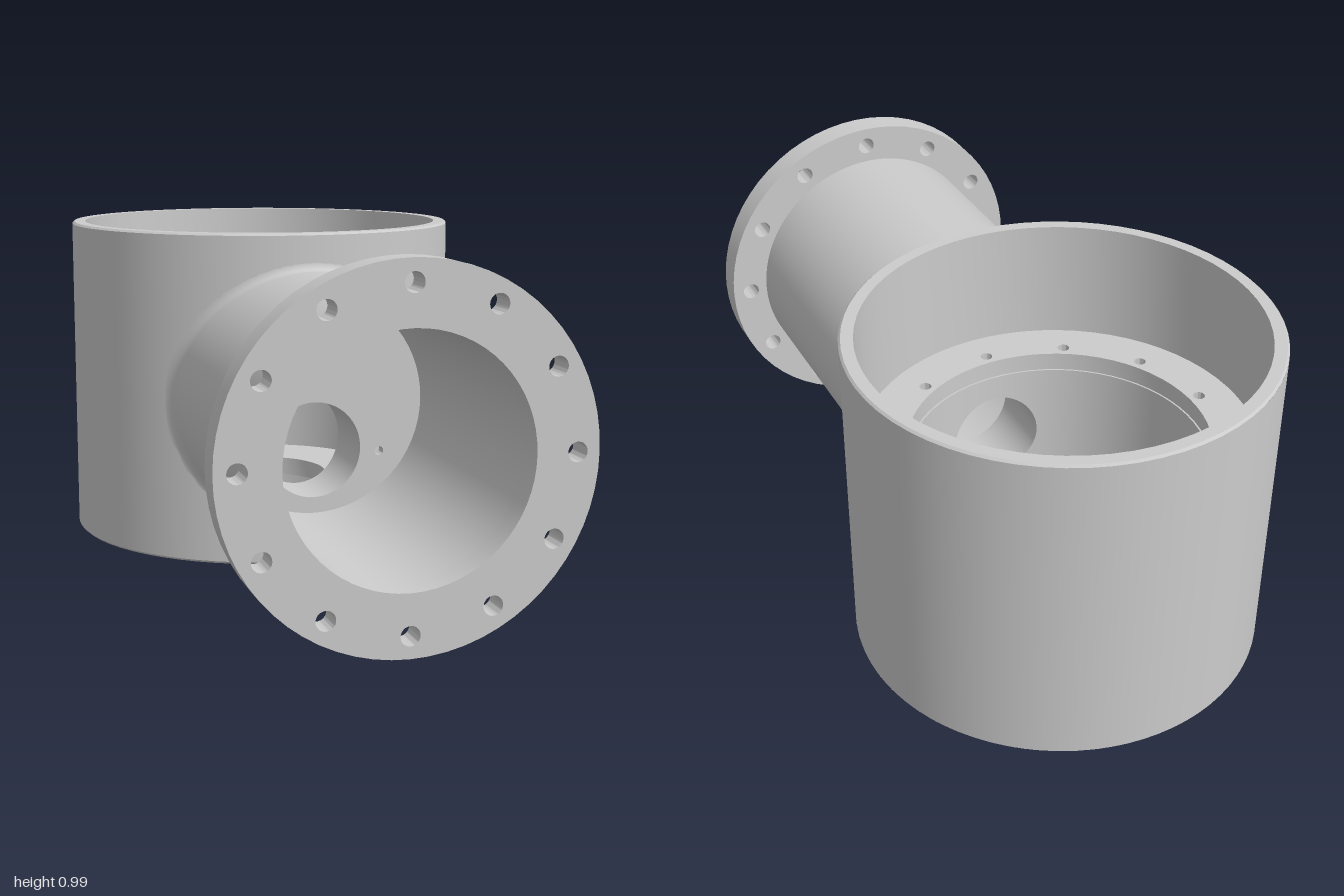
import * as THREE from 'three';
import { toCreasedNormals } from 'three/addons/utils/BufferGeometryUtils.js';
import { ParametricGeometry } from 'three/addons/geometries/ParametricGeometry.js';

const AXIS_Z = -0.41;               // vertical barrel axis
const PIPE_Y = 0.493;               // horizontal pipe axis
const PORT_Y = 0.355, PORT_R = 0.14; // passage between pipe and barrel
const BARREL_R = 0.59, CAVITY_R = 0.415, BORE_R = 0.325, PIPE_R = 0.38;
const FLOOR_Y = 0.16, LEDGE_Y = 0.625;

const surfaceZ = (R, x) => AXIS_Z + Math.sqrt(R * R - x * x);

export function createModel() {
  const model = new THREE.Group();
  const material = new THREE.MeshStandardMaterial({ color: 0xcccccc, side: THREE.DoubleSide });

  function add(name, geometry, parent = model) {
    const mesh = new THREE.Mesh(geometry, material);
    mesh.name = name;
    parent.add(mesh);
    return mesh;
  }

  const circle = (r, x = 0, y = 0) => new THREE.Path().absarc(x, y, r, 0, Math.PI * 2, false);

  function boltCircle(count, radius, holeR) {
    return Array.from({ length: count }, (_, i) => {
      const a = (i / count) * Math.PI * 2;
      return circle(holeR, radius * Math.cos(a), radius * Math.sin(a));
    });
  }

  // Round plate with holes, extruded along +z
  function plate(radius, holes, depth) {
    const shape = new THREE.Shape().absarc(0, 0, radius, 0, Math.PI * 2, false);
    shape.holes.push(...holes);
    const g = new THREE.ExtrudeGeometry(shape, { depth, bevelEnabled: false, curveSegments: 32 });
    return toCreasedNormals(g, 0.6);
  }

  // The same plate laid flat on the barrel axis
  const flatPlate = (radius, holes, y0, y1) =>
    plate(radius, holes, y1 - y0).rotateX(-Math.PI / 2).translate(0, y0, AXIS_Z);

  // Curved slot through the barrel floor
  function slot() {
    const a0 = THREE.MathUtils.degToRad(75), a1 = THREE.MathUtils.degToRad(206);
    const outer = CAVITY_R, inner = 0.36, mid = (outer + inner) / 2, cap = (outer - inner) / 2;
    const p = new THREE.Path();
    p.absarc(0, 0, outer, a0, a1, false);
    p.absarc(mid * Math.cos(a1), mid * Math.sin(a1), cap, a1, a1 + Math.PI, false);
    p.absarc(0, 0, inner, a1, a0, true);
    p.absarc(mid * Math.cos(a0), mid * Math.sin(a0), cap, a0 + Math.PI, a0 + Math.PI * 2, false);
    return p;
  }

  // Upright cylinder wall with the round port cut in its front
  function portedWall(name, R, y0, y1) {
    const wall = new THREE.Group();
    wall.name = name;
    model.add(wall);
    const half = 0.6;
    add('wallBack', new THREE.CylinderGeometry(R, R, y1 - y0, 64, 1, true, half, Math.PI * 2 - 2 * half)
      .translate(0, (y0 + y1) / 2, AXIS_Z), wall);
    add('wallFront', new ParametricGeometry((u, v, p) => {
      const c = Math.cos(u * Math.PI * 2), s = Math.sin(u * Math.PI * 2);
      const k = 1 / Math.max(Math.abs(c), Math.abs(s));
      const edgeY = PORT_Y + s * k * (s > 0 ? y1 - PORT_Y : PORT_Y - y0);
      const phi = THREE.MathUtils.lerp(Math.asin(PORT_R * c / R), half * c * k, v);
      const y = THREE.MathUtils.lerp(PORT_Y + PORT_R * s, edgeY, v);
      p.set(R * Math.sin(phi), y, AXIS_Z + R * Math.cos(phi));
    }, 64, 6), wall);
  }

  function lathe(name, points) {
    const g = new THREE.LatheGeometry(points.map(([r, y]) => new THREE.Vector2(r, y)), 64);
    add(name, toCreasedNormals(g, 0.5).translate(0, 0, AXIS_Z));
  }

  // Barrel shell, open at the top
  portedWall('barrelOuterWall', BARREL_R, 0.022, 0.974);
  lathe('barrelBottomChamfer', [[0.583, 0.015], [BARREL_R, 0.022]]);
  lathe('barrelRimAndInnerWall', [[BARREL_R, 0.974], [0.584, 0.98], [0.55, 0.98], [0.55, LEDGE_Y]]);

  // Ledge with blind screw holes, and the small step below it
  add('ledge', flatPlate(0.55, [circle(0.42), ...boltCircle(12, 0.453, 0.017)], 0.57, LEDGE_Y));
  add('ledgeStep', new THREE.RingGeometry(CAVITY_R, 0.55, 64).rotateX(-Math.PI / 2).translate(0, 0.57, AXIS_Z));
  portedWall('cavityWall', CAVITY_R, FLOOR_Y, 0.57);

  // Barrel floor: recessed base ring, then the thin plate around the centre hole
  const screws = () => boltCircle(4, 0.267, 0.02);
  add('baseRing', flatPlate(0.583, [circle(0.323), slot(), ...boltCircle(8, 0.535, 0.038)], 0.015, 0.1));
  add('floorLower', flatPlate(0.58, [circle(0.222), slot(), ...screws()], 0.1, 0.13));
  add('floorUpper', flatPlate(0.58, [circle(0.21), slot(), ...screws()], 0.13, FLOOR_Y));

  // Pipe, with a fillet where it meets the barrel
  const start = new THREE.Vector3(), corner = new THREE.Vector3(), end = new THREE.Vector3();
  add('pipe', new ParametricGeometry((u, v, p) => {
    const c = Math.cos(u * Math.PI * 2), s = Math.sin(u * Math.PI * 2);
    const at = (target, r, lift) =>
      target.set(r * c, PIPE_Y + r * s, surfaceZ(BARREL_R, r * c) + lift);
    at(start, PIPE_R, 0.03);
    at(corner, PIPE_R, 0);
    at(end, PIPE_R + 0.03, -0.001);
    if (v < 0.25) {
      p.copy(start).setZ(THREE.MathUtils.lerp(0.92, start.z, v * 4));
    } else {
      const t = (v - 0.25) / 0.75;
      p.copy(start).multiplyScalar((1 - t) ** 2)
        .addScaledVector(corner, 2 * t * (1 - t))
        .addScaledVector(end, t * t);
    }
  }, 96, 8));
  add('pipeBore', new THREE.CylinderGeometry(BORE_R, BORE_R, 0.73, 64, 1, true)
    .rotateX(Math.PI / 2).translate(0, PIPE_Y, 0.555));

  // Bolted flange at the pipe mouth
  add('flange', plate(0.493, [circle(BORE_R), ...boltCircle(12, 0.434, 0.026)], 0.08)
    .translate(0, PIPE_Y, 0.92));

  // Bulkhead closing the bore, with the off-centre port and two pin holes
  const pins = [-1, 1].map((side) => circle(0.013, side * 0.198, 0.341 - PIPE_Y));
  add('bulkhead', plate(BORE_R, [circle(PORT_R, 0, PORT_Y - PIPE_Y), ...pins], 0.035)
    .translate(0, PIPE_Y, 0.155));
  add('portTunnel', new ParametricGeometry((u, v, p) => {
    const x = PORT_R * Math.cos(u * Math.PI * 2);
    const y = PORT_Y + PORT_R * Math.sin(u * Math.PI * 2);
    p.set(x, y, THREE.MathUtils.lerp(0.19, surfaceZ(CAVITY_R, x), v));
  }, 64, 1));

  return model;
}
